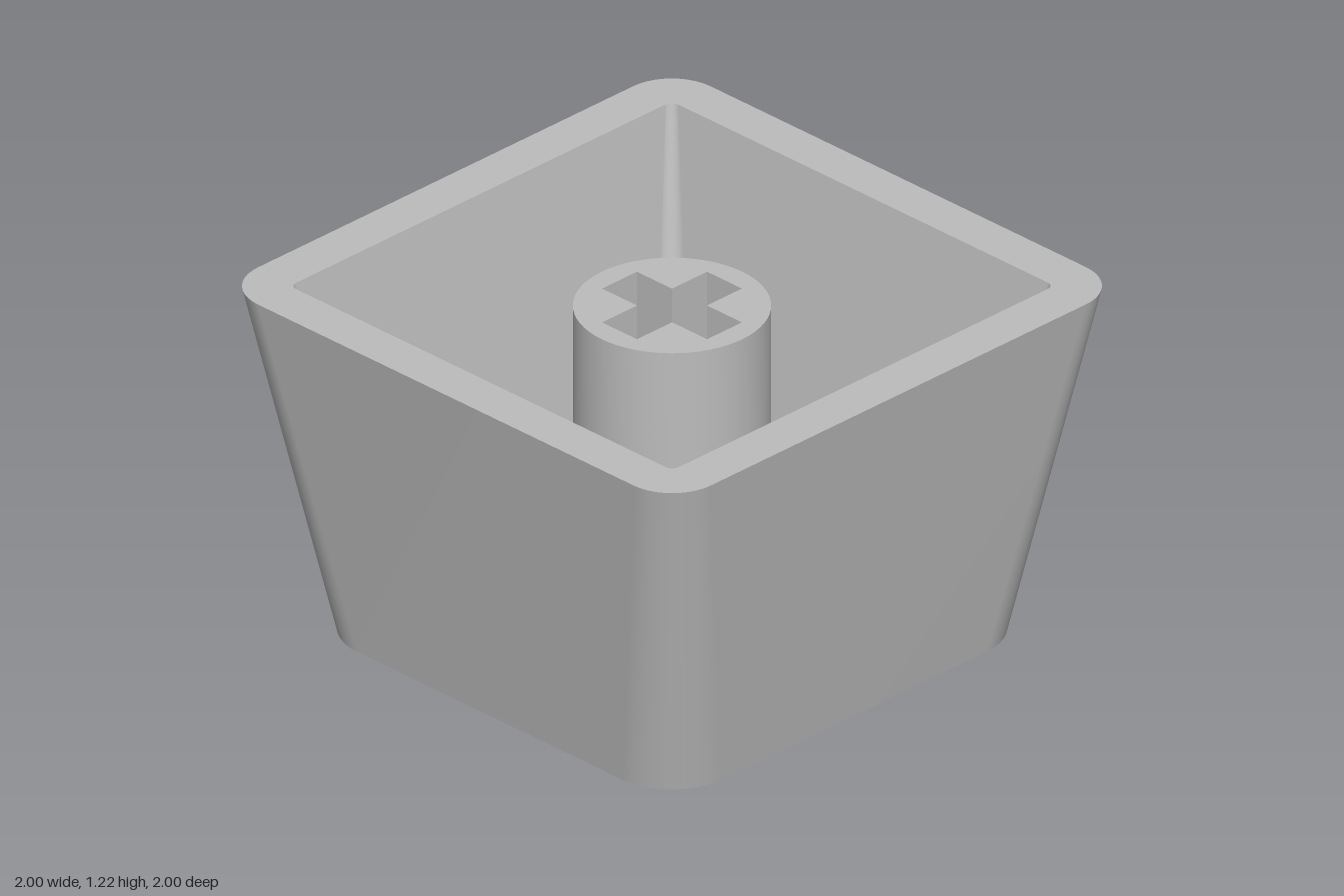
import * as THREE from 'three';
import { toCreasedNormals } from 'three/addons/utils/BufferGeometryUtils.js';

const HEIGHT = 1.22, FLOOR = 0.16, STEM_TOP = 1.15, SOCKET_BOTTOM = 0.6;

// Rounded rectangle as a counter-clockwise loop in plan; plan y is -z
function roundedLoop(x0, x1, y0, y1, r, steps = 10) {
  const corners = [[x1 - r, y1 - r], [x0 + r, y1 - r], [x0 + r, y0 + r], [x1 - r, y0 + r]];
  const points = [];
  corners.forEach(([cx, cy], quarter) => {
    for (let i = 0; i <= steps; i++) {
      const a = (quarter + i / steps) * Math.PI / 2;
      points.push(new THREE.Vector2(cx + r * Math.cos(a), cy + r * Math.sin(a)));
    }
  });
  return points;
}
const squareLoop = (half, r) => roundedLoop(-half, half, -half, half, r);

// Wall between two loops, facing outward or inward
function wall(lower, yLow, upper, yHigh, inward = false) {
  const n = lower.length, positions = [], index = [];
  for (const [loop, y] of [[lower, yLow], [upper, yHigh]]) {
    loop.forEach((p) => positions.push(p.x, y, -p.y));
  }
  for (let i = 0; i < n; i++) {
    const j = (i + 1) % n;
    if (inward) index.push(i, n + j, j, i, n + i, n + j);
    else index.push(i, j, n + j, i, n + j, n + i);
  }
  const g = new THREE.BufferGeometry();
  g.setAttribute('position', new THREE.Float32BufferAttribute(positions, 3));
  g.setIndex(index);
  g.computeVertexNormals();
  return g;
}

function shapeOf(outline, hole) {
  const shape = new THREE.Shape(outline);
  if (hole) shape.holes.push(new THREE.Path(hole));
  return shape;
}

// Flat horizontal face at height y, looking up or down
function face(outline, hole, y, down = false) {
  const g = new THREE.ShapeGeometry(shapeOf(outline, hole));
  if (down) {
    const idx = g.index.array;
    for (let i = 0; i < idx.length; i += 3) [idx[i], idx[i + 1]] = [idx[i + 1], idx[i]];
    g.computeVertexNormals();
  }
  return g.rotateX(-Math.PI / 2).translate(0, y, 0);
}

export function createModel() {
  const model = new THREE.Group();
  model.name = 'keycap';
  const grey = new THREE.MeshStandardMaterial({ color: 0xbcbcbc });
  grey.name = 'grey plastic';
  const add = (name, geometry) => {
    const mesh = new THREE.Mesh(geometry, grey);
    mesh.name = name;
    model.add(mesh);
  };

  const outerBase = squareLoop(0.805, 0.22), outerRim = squareLoop(1, 0.17);
  const innerBase = squareLoop(0.65, 0.08), innerRim = squareLoop(0.845, 0.03);

  // Plain window through the floor, wider on the underside
  const windowBase = roundedLoop(-0.23, 0.23, -0.74, -0.32, 0.04);
  const windowTop = roundedLoop(-0.23, 0.23, -0.645, -0.32, 0.04);

  // Tapered shell
  add('outerWall', wall(outerBase, 0, outerRim, HEIGHT));
  add('innerWall', wall(innerBase, FLOOR, innerRim, HEIGHT, true));
  add('rim', face(outerRim, innerRim, HEIGHT));
  add('innerFloor', face(innerBase, windowTop, FLOOR));
  add('underside', face(outerBase, windowBase, 0, true));
  add('floorWindow', wall(windowBase, 0, windowTop, FLOOR, true));

  // Round stem with a cross-shaped socket
  const l = 0.232, w = 0.077;
  const cross = [[l, -w], [l, w], [w, w], [w, l], [-w, l], [-w, w],
    [-l, w], [-l, -w], [-w, -w], [-w, -l], [w, -l], [w, -w]]
    .map(([x, y]) => new THREE.Vector2(x, y));
  const circle = Array.from({ length: 64 }, (_, i) => {
    const a = i / 64 * Math.PI * 2;
    return new THREE.Vector2(0.31 * Math.cos(a), 0.31 * Math.sin(a));
  });
  const stem = new THREE.ExtrudeGeometry(shapeOf(circle, cross),
    { depth: STEM_TOP - FLOOR + 0.01, bevelEnabled: false });
  stem.rotateX(-Math.PI / 2).translate(0, FLOOR - 0.01, 0);
  add('stem', toCreasedNormals(stem, Math.PI / 6));
  add('socketBottom', face(cross, null, SOCKET_BOTTOM));

  return model;
}
